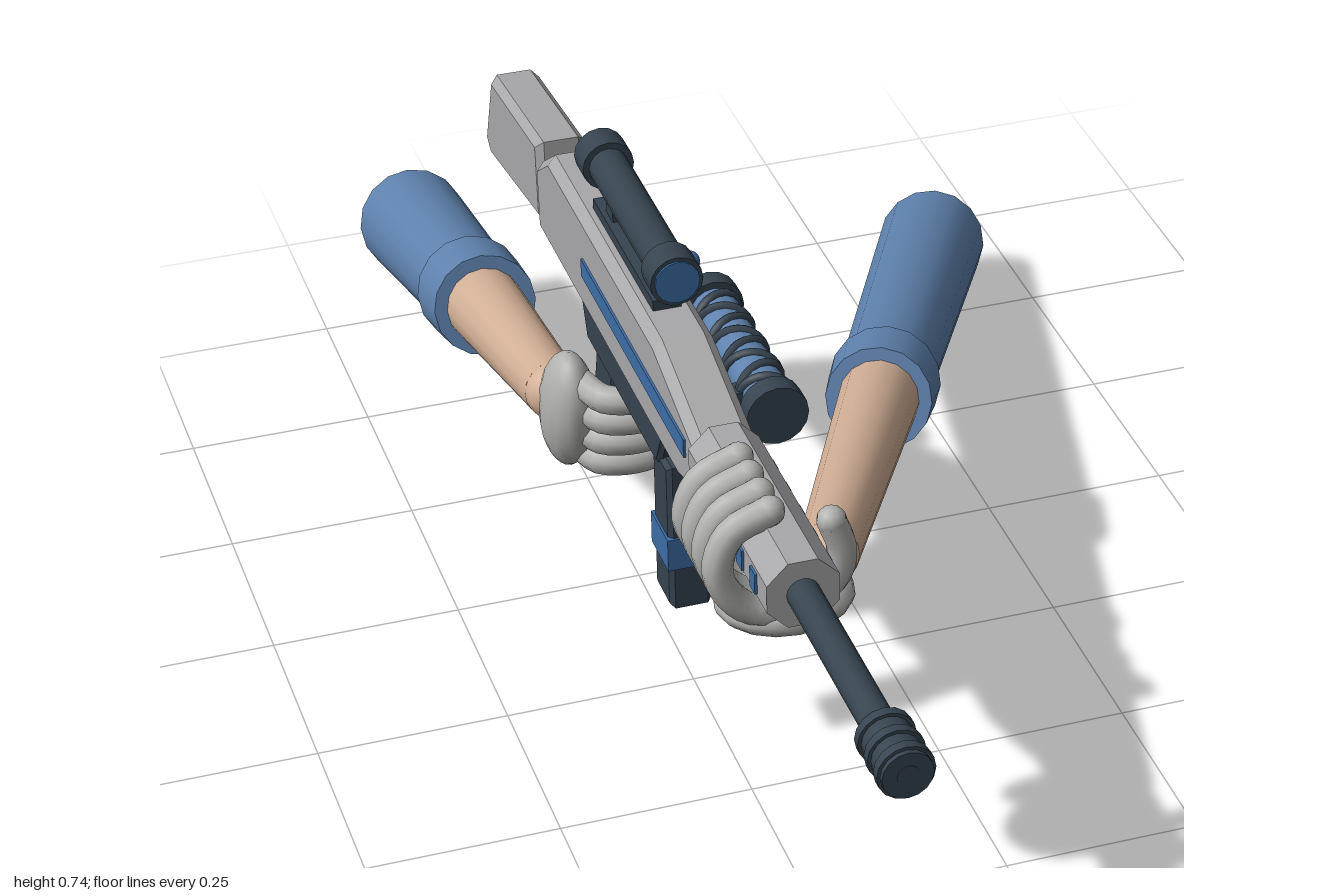
import * as THREE from 'three';

const mat = (name, color) => Object.assign(new THREE.MeshStandardMaterial({ color }), { name });
const M = {
  grey: mat('bodyGrey', 0xa8a8aa),
  glove: mat('gloveGrey', 0xb2b2b0),
  dark: mat('darkMetal', 0x36434f),
  blue: mat('accentBlue', 0x3d6da6),
  sleeve: mat('sleeveBlue', 0x5f82ae),
  skin: mat('skin', 0xd3b097),
};
const GX = -0.305; // centre plane of the rifle
const V = (x, y, z) => new THREE.Vector3(x, y, z);

export function createModel() {
  const root = new THREE.Group();
  root.name = 'rifleWithArms';

  const add = (name, geo, material, x = 0, y = 0, z = 0, parent = root) => {
    const m = new THREE.Mesh(geo, material);
    m.name = name;
    m.position.set(x, y, z);
    parent.add(m);
    return m;
  };
  const box = (name, w, h, d, material, x, y, z) =>
    add(name, new THREE.BoxGeometry(w, h, d), material, x, y, z);

  // Tapered cylinder from point a (radius ra) to point b (radius rb)
  const rod = (name, a, b, ra, rb, material, sides = 16) => {
    const dir = b.clone().sub(a);
    const geo = new THREE.CylinderGeometry(rb, ra, dir.length(), sides);
    const m = add(name, geo, material);
    m.position.copy(a).add(b).multiplyScalar(0.5);
    m.quaternion.setFromUnitVectors(V(0, 1, 0), dir.normalize());
    return m;
  };
  const zRod = (name, x, y, z0, z1, r, material, sides = 16) =>
    rod(name, V(x, y, z0), V(x, y, z1), r, r, material, sides);

  // Side profile of [z, y] points, extruded across x with a small bevel
  const slab = (name, pts, width, bevel, material) => {
    const shape = new THREE.Shape(pts.map(([z, y]) => new THREE.Vector2(z, y)));
    const geo = new THREE.ExtrudeGeometry(shape, {
      depth: width - 2 * bevel, bevelEnabled: true, bevelSize: bevel,
      bevelThickness: bevel, bevelOffset: -bevel, bevelSegments: 1,
    });
    geo.translate(0, 0, bevel - width / 2).rotateY(-Math.PI / 2);
    return add(name, geo, material, GX);
  };

  const ellipsoid = (name, p, rx, ry, rz, material) => {
    const m = add(name, new THREE.SphereGeometry(1, 16, 12), material, p.x, p.y, p.z);
    m.scale.set(rx, ry, rz);
    return m;
  };
  // Rounded digit following a smooth path
  const digit = (name, pts, r) => {
    const g = new THREE.Group();
    g.name = name;
    root.add(g);
    const curve = new THREE.CatmullRomCurve3(pts);
    add(name + 'Bend', new THREE.TubeGeometry(curve, 18, r, 10), M.glove, 0, 0, 0, g);
    for (const p of [pts[0], pts[pts.length - 1]])
      add(name + 'Tip', new THREE.SphereGeometry(r, 10, 8), M.glove, p.x, p.y, p.z, g);
  };

  // Receiver and stock
  slab('receiver', [[0.365, 0.535], [0.365, 0.6], [0.18, 0.65], [-0.29, 0.65],
    [-0.355, 0.605], [-0.35, 0.51], [0.275, 0.51]], 0.076, 0.012, M.grey);
  slab('stock', [[-0.36, 0.63], [-0.595, 0.607], [-0.637, 0.495], [-0.61, 0.475],
    [-0.353, 0.515]], 0.066, 0.01, M.grey);
  slab('lowerHousing', [[0.185, 0.515], [-0.18, 0.515], [-0.155, 0.455], [0.155, 0.455]],
    0.06, 0.006, M.dark);

  // Handguard, barrel and muzzle
  const guard = zRod('handguard', GX, 0.578, 0.34, 0.64, 0.047, M.grey, 8);
  guard.geometry = guard.geometry.toNonIndexed();
  guard.geometry.rotateY(Math.PI / 8);
  guard.geometry.computeVertexNormals();
  zRod('barrel', GX, 0.578, 0.63, 0.93, 0.02, M.dark);
  zRod('muzzle', GX, 0.578, 0.914, 1.0, 0.03, M.dark);
  for (const z of [0.925, 0.957, 0.988]) zRod('muzzleRing', GX, 0.578, z - 0.006, z + 0.006, 0.034, M.dark);
  zRod('muzzleBore', GX, 0.578, 0.99, 1.001, 0.013, M.dark);

  // Blue side details
  for (const s of [-1, 1]) {
    box('sideStripe', 0.004, 0.025, 0.44, M.blue, GX + s * 0.039, 0.577, 0.09);
    for (let i = 0; i < 5; i++)
      box('guardSlot', 0.006, 0.027, 0.02, M.blue, GX + s * 0.0435, 0.577, 0.595 - i * 0.05);
  }

  // Scope on its rail
  box('scopeRail', 0.036, 0.016, 0.26, M.dark, GX, 0.656, -0.015);
  for (const z of [0.075, -0.095]) box('scopeMount', 0.022, 0.05, 0.03, M.dark, GX, 0.683, z);
  zRod('scopeTube', GX, 0.714, -0.16, 0.15, 0.025, M.dark);
  for (const [z0, z1] of [[0.12, 0.16], [-0.172, -0.132]]) zRod('scopeCap', GX, 0.714, z0, z1, 0.033, M.dark);
  zRod('frontLens', GX, 0.714, 0.157, 0.163, 0.028, M.blue);
  zRod('rearLens', GX, 0.714, -0.175, -0.169, 0.028, M.blue);

  // Side canister wrapped in a dark coil
  const CX = -0.225, CY = 0.592;
  zRod('canister', CX, CY, 0.03, 0.29, 0.03, M.sleeve);
  for (const [z0, z1] of [[0.272, 0.3], [0.018, 0.044]]) zRod('canisterCap', CX, CY, z0, z1, 0.039, M.dark);
  for (const turn of [1, -1]) {
    const pts = [];
    for (let i = 0; i <= 48; i++) {
      const a = (turn * i * Math.PI) / 6;
      pts.push(V(CX + 0.03 * Math.cos(a), CY + 0.03 * Math.sin(a), 0.045 + i * 0.0047));
    }
    add('canisterCoil', new THREE.TubeGeometry(new THREE.CatmullRomCurve3(pts), 96, 0.006, 6), M.dark);
  }
  for (const z of [0.08, 0.24]) box('canisterBracket', 0.04, 0.02, 0.025, M.dark, -0.26, CY, z);

  // Bolt handle
  box('boltPlate', 0.012, 0.026, 0.055, M.dark, GX + 0.042, 0.608, -0.045);
  rod('boltRod', V(-0.27, 0.608, -0.05), V(-0.232, 0.608, -0.05), 0.009, 0.009, M.dark, 10);
  ellipsoid('boltKnob', V(-0.228, 0.608, -0.05), 0.014, 0.014, 0.014, M.blue);

  // Magazine
  slab('magazine', [[0.19, 0.47], [0.125, 0.47], [0.125, 0.263], [0.19, 0.263]], 0.054, 0.006, M.dark);
  box('magazineBand', 0.06, 0.045, 0.071, M.blue, GX, 0.345, 0.1575);

  // Pistol grip, trigger and guard
  slab('grip', [[-0.05, 0.47], [-0.13, 0.47], [-0.17, 0.315], [-0.095, 0.305]], 0.05, 0.008, M.dark);
  const loop = new THREE.CatmullRomCurve3([V(GX, 0.46, 0.1), V(GX, 0.425, 0.07), V(GX, 0.415, 0.01), V(GX, 0.425, -0.06)]);
  add('triggerGuard', new THREE.TubeGeometry(loop, 14, 0.007, 6), M.dark);
  rod('trigger', V(GX, 0.46, 0.02), V(GX, 0.428, 0.03), 0.006, 0.005, M.dark, 8);

  // Right hand around the grip
  ellipsoid('rightPalm', V(-0.374, 0.383, -0.115), 0.036, 0.09, 0.055, M.glove).rotation.x = 0.25;
  for (let i = 0; i < 4; i++) {
    const y = 0.435 - i * 0.037, z = -0.005 - i * 0.011;
    digit('rightFinger', [V(-0.362, y, z - 0.08), V(-0.345, y, z - 0.035), V(-0.305, y, z - 0.022),
      V(-0.265, y, z - 0.035), V(-0.26, y, z - 0.11)], 0.0185);
  }
  // Left hand under the handguard
  ellipsoid('leftPalm', V(-0.285, 0.483, 0.505), 0.085, 0.034, 0.07, M.glove);
  for (let i = 0; i < 4; i++) {
    const z = 0.548 - i * 0.039;
    digit('leftFinger', [V(-0.285, 0.488, z), V(-0.345, 0.507, z), V(-0.378, 0.56, z),
      V(-0.362, 0.612, z), V(-0.315, 0.634, z)], 0.0185);
  }
  digit('leftThumb', [V(-0.27, 0.49, 0.535), V(-0.238, 0.525, 0.548), V(-0.231, 0.57, 0.555), V(-0.243, 0.61, 0.555)], 0.018);

  // Arms: skin forearm, rolled cuff, sleeve
  const arm = (side, wrist, cuff, end) => {
    const d = end.clone().sub(cuff).normalize();
    const at = (t) => cuff.clone().addScaledVector(d, t);
    rod(side + 'Forearm', wrist, cuff, 0.038, 0.054, M.skin);
    ellipsoid(side + 'Wrist', wrist, 0.038, 0.038, 0.038, M.skin);
    rod(side + 'Cuff', at(-0.045), at(0.045), 0.07, 0.074, M.sleeve);
    rod(side + 'Sleeve', at(0.03), end, 0.063, 0.076, M.sleeve);
  };
  arm('left', V(-0.215, 0.493, 0.455), V(0.06, 0.3, -0.15), V(0.373, 0.081, -0.836));
  arm('right', V(-0.382, 0.39, -0.15), V(-0.374, 0.283, -0.575), V(-0.368, 0.176, -0.98));

  return root;
}
